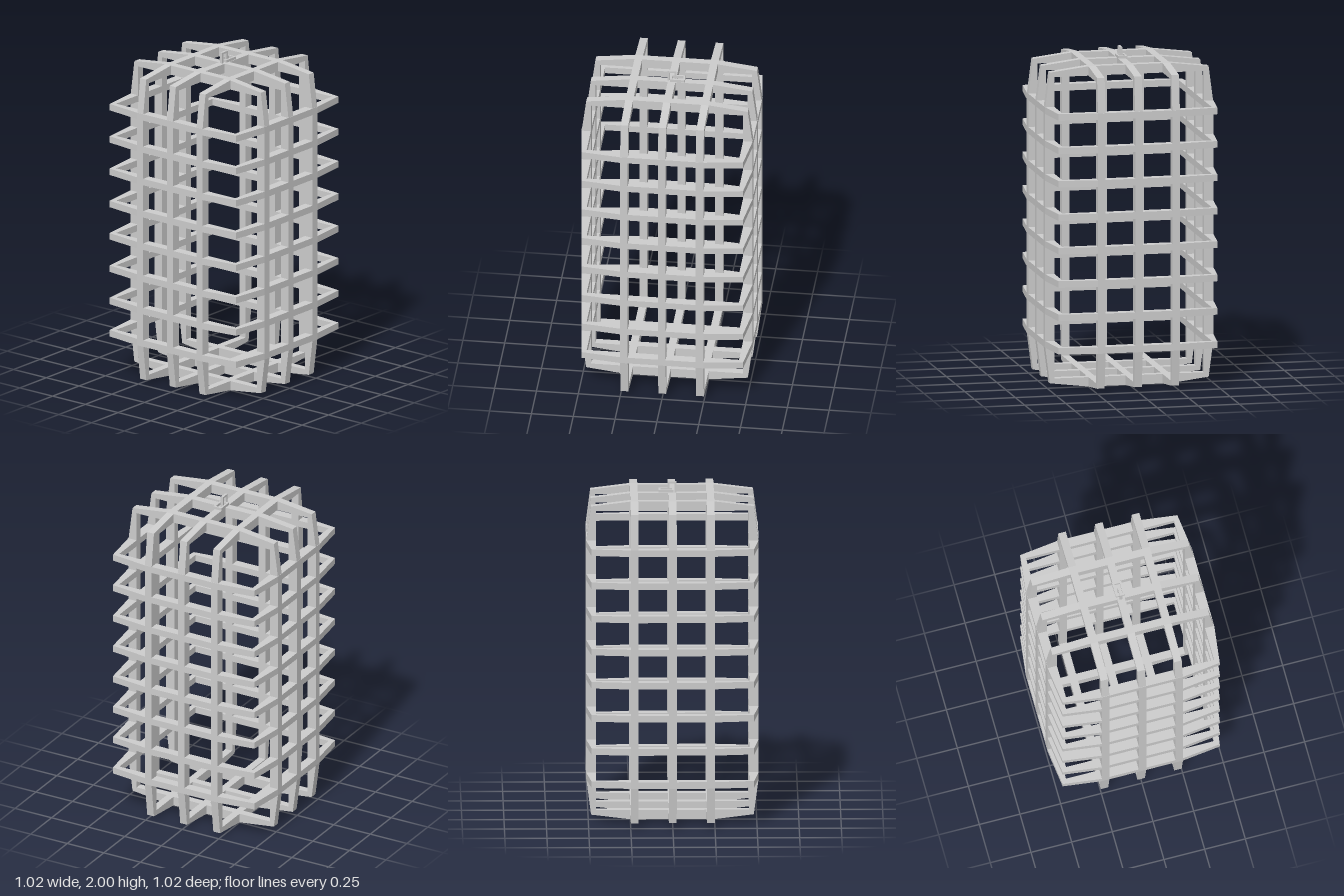
import * as THREE from 'three';

const material = new THREE.MeshStandardMaterial({ color: 0xcccccc, flatShading: true });

// Flat frame extruded symmetrically about its plane.
function frame(outer, inner, depth) {
  const shape = new THREE.Shape(outer.map(([a, b]) => new THREE.Vector2(a, b)));
  shape.holes.push(new THREE.Path(inner.map(([a, b]) => new THREE.Vector2(a, b))));
  return new THREE.ExtrudeGeometry(shape, { depth, bevelEnabled: false }).translate(0, 0, -depth / 2);
}

const rect = (x0, y0, x1, y1) => [[x0, y0], [x1, y0], [x1, y1], [x0, y1]];

// Outline with each side flat in the middle and tapering to pulled-in corners.
function taperedOutline(w, h, flatX, flatY, inset) {
  return [
    [-flatX, -h], [flatX, -h], [w - inset, -h + inset],
    [w, -flatY], [w, flatY], [w - inset, h - inset],
    [flatX, h], [-flatX, h], [-w + inset, h - inset],
    [-w, flatY], [-w, -flatY], [-w + inset, -h + inset],
  ];
}

export function createModel() {
  const model = new THREE.Group();
  const add = (parent, name, geometry) => {
    const mesh = new THREE.Mesh(geometry, material);
    mesh.name = name;
    parent.add(mesh);
    return mesh;
  };

  const W = 0.512, inner = 0.455, midY = 0.967, H = 0.967;

  // Upright frames, three facing each way
  const uprights = new THREE.Group();
  uprights.name = 'uprightFrames';
  const upright = frame(
    taperedOutline(W, H, 0.25, 0.715, 0.029),
    rect(-inner, -H + 0.057, inner, H - 0.057), 0.046);
  const uprightSide = upright.clone().rotateY(Math.PI / 2);
  for (const offset of [-0.226, 0, 0.226]) {
    add(uprights, 'uprightFrameFront', upright).position.set(0, midY, offset);
    add(uprights, 'uprightFrameSide', uprightSide).position.set(offset, midY, 0);
  }
  model.add(uprights);

  // Horizontal hoops
  const hoops = new THREE.Group();
  hoops.name = 'horizontalHoops';
  const hoop = frame(
    taperedOutline(W, W, 0.25, 0.25, 0.029),
    rect(-inner, -inner, inner, inner), 0.04).rotateX(-Math.PI / 2);
  for (let i = 0; i < 8; i++) {
    add(hoops, 'hoop', hoop).position.y = 0.265 + i * 0.2017;
  }
  model.add(hoops);

  // Hanging loop: an upright link with a flat link lying through it
  const hanger = new THREE.Group();
  hanger.name = 'hanger';
  add(hanger, 'uprightLink', frame(
    rect(-0.027, 1.92, 0.027, 2.0), rect(-0.016, 1.931, 0.016, 1.989), 0.016)
    .rotateY(Math.PI / 2));
  add(hanger, 'flatLink', frame(
    rect(-0.028, -0.01, 0.028, 0.079), rect(-0.017, 0.001, 0.017, 0.068), 0.016)
    .rotateX(-Math.PI / 2)).position.y = 1.947;
  model.add(hanger);

  return model;
}
